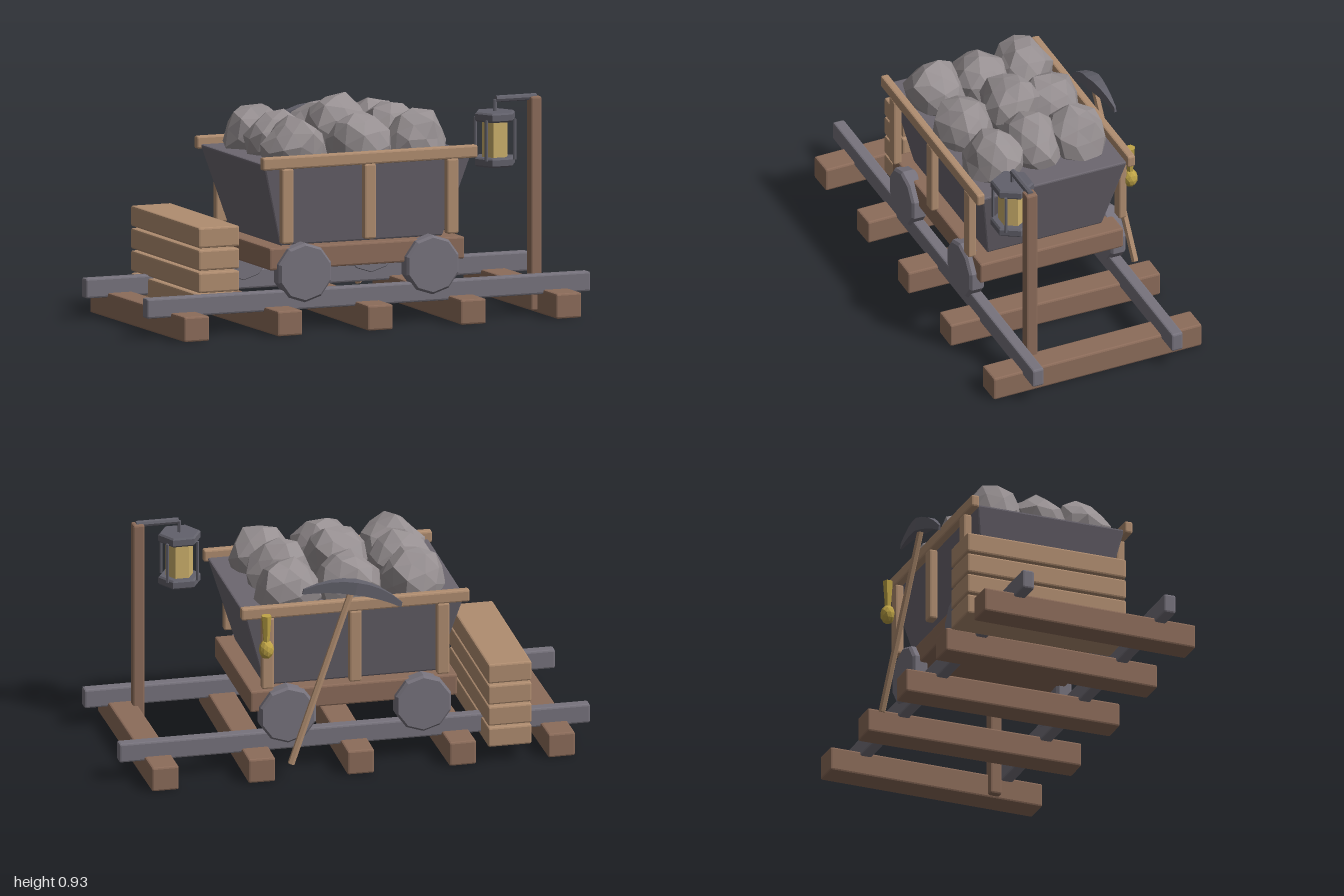
import * as THREE from 'three';
import { RoundedBoxGeometry } from 'three/addons/geometries/RoundedBoxGeometry.js';
import { mergeVertices } from 'three/addons/utils/BufferGeometryUtils.js';

const mat = (name, color) => {
  const m = new THREE.MeshStandardMaterial({ color, flatShading: true });
  m.name = name;
  return m;
};

export function createModel() {
  const darkWood = mat('dark wood', 0x8c6c5a);
  const lightWood = mat('light wood', 0xb08d70);
  const steel = mat('steel', 0x77737d);
  const tubMetal = mat('tub metal', 0x6c6770);
  const iron = mat('dark iron', 0x62616b);
  const stone = mat('stone', 0x979092);
  const glass = mat('lamp glass', 0xccb06c);
  const gold = mat('gold', 0xbfa446);

  const model = new THREE.Group();
  model.name = 'mineCart';
  const add = (name, geo, material, x = 0, y = 0, z = 0, parent = model) => {
    const mesh = new THREE.Mesh(geo, material);
    mesh.name = name;
    mesh.position.set(x, y, z);
    parent.add(mesh);
    return mesh;
  };
  // chamfered box
  const block = (w, h, d, r = 0.008) => new RoundedBoxGeometry(w, h, d, 1, r);
  // move each vertex by a rule
  const warp = (geo, rule) => {
    const p = geo.attributes.position, v = new THREE.Vector3();
    for (let i = 0; i < p.count; i++) {
      rule(v.fromBufferAttribute(p, i));
      p.setXYZ(i, v.x, v.y, v.z);
    }
    geo.computeVertexNormals();
    return geo;
  };
  // chamfered disc around y
  const disc = (r, h, sides, b) => new THREE.LatheGeometry([
    [0, -h / 2], [r - b, -h / 2], [r, -h / 2 + b], [r, h / 2 - b], [r - b, h / 2], [0, h / 2],
  ].map(([x, y]) => new THREE.Vector2(x, y)), sides);

  // track
  const turns = [0.016, 0.016, -0.012, -0.012, 0.01];
  turns.forEach((turn, i) => {
    add('sleeper', block(0.115, 0.105, 0.95), darkWood, -0.84 + i * 0.42, 0.0525, 0).rotation.y = turn;
  });
  for (const s of [-1, 1]) add('rail', block(2, 0.083, 0.052), steel, 0, 0.128, s * 0.316);

  // stacked planks
  for (let i = 0; i < 4; i++) {
    add('plank', block(0.185, 0.086, 0.71), lightWood, -0.628, 0.112 + i * 0.0937, -0.12);
  }

  // cart: chassis, wheels, tapered tub
  add('chassis', block(0.88, 0.093, 0.65), darkWood, 0, 0.3, 0);
  for (const x of [-0.29, 0.285]) {
    for (const s of [-1, 1]) {
      add('wheel', disc(0.124, 0.068, 10, 0.01), steel, x, 0.24, s * 0.321).rotation.x = Math.PI / 2;
    }
  }
  const tub = warp(block(0.94, 0.352, 0.66), (v) => {
    const t = 0.5 - v.y / 0.352;
    v.x *= 1 - 0.22 * t;
    v.z *= 1 - 0.21 * t;
  });
  add('tub', tub, tubMetal, 0, 0.521, 0);
  for (const s of [-1, 1]) {
    add('rimBoard', block(0.97, 0.053, 0.036), lightWood, 0, 0.704, s * 0.342);
    for (const x of [-0.372, 0, 0.372]) {
      add('sidePost', block(0.053, 0.315, 0.037), lightWood, x, 0.523, s * 0.342);
    }
  }

  // heap of rough rocks
  let seed = 7;
  const rnd = () => (seed = (seed * 16807) % 2147483647) / 2147483647;
  const rock = (rx, ry, rz) => {
    let g = new THREE.IcosahedronGeometry(1, 1);
    g.deleteAttribute('normal');
    g.deleteAttribute('uv');
    g = mergeVertices(g, 1e-3);
    const spin = new THREE.Euler(rnd() * 6, rnd() * 6, rnd() * 6);
    return warp(g, (v) => {
      v.applyEuler(spin).multiplyScalar(0.88 + rnd() * 0.22);
      v.set(v.x * rx, v.y * ry, v.z * rz);
    });
  };
  for (let i = -1; i <= 1; i++) {
    for (let j = -1; j <= 1; j++) {
      const mid = i === 0 && j === 0;
      const x = i * 0.262 - 0.005 + (rnd() - 0.5) * 0.03;
      const z = j * 0.2 + (rnd() - 0.5) * 0.02;
      add('rock', rock(0.138, mid ? 0.15 : 0.138, 0.126), stone, x, mid ? 0.785 : 0.737, z);
    }
  }

  // lantern on its post
  add('lanternPost', block(0.05, 0.895, 0.052), darkWood, 0.782, 0.4575, 0.256);
  add('lanternArm', new THREE.CylinderGeometry(0.014, 0.014, 0.18, 8), iron, 0.7, 0.902, 0.256).rotation.z = Math.PI / 2;
  const lantern = new THREE.Group();
  lantern.name = 'lantern';
  lantern.position.set(0.605, 0.738, 0.256);
  model.add(lantern);
  for (const y of [-0.094, 0.094]) {
    add('lanternCap', disc(0.09, 0.039, 6, 0.007), iron, 0, y, 0, lantern).rotation.y = Math.PI / 6;
  }
  add('lanternGlass', new THREE.CylinderGeometry(0.058, 0.058, 0.16, 6), glass, 0, 0, 0, lantern).rotation.y = Math.PI / 6;
  for (const x of [-0.064, 0.064]) {
    for (const z of [-0.056, 0.058]) {
      add('lanternBar', new THREE.CylinderGeometry(0.007, 0.007, 0.17, 6), iron, x, 0, z, lantern);
    }
  }
  add('lanternHook', new THREE.CylinderGeometry(0.008, 0.008, 0.06, 6), iron, 0, 0.132, 0, lantern);

  // pickaxe leaning on the back
  const top = new THREE.Vector3(0.01, 0.815, -0.378), foot = new THREE.Vector3(0.295, 0.06, -0.443);
  const along = top.clone().sub(foot);
  const handle = add('pickHandle', new THREE.CylinderGeometry(0.014, 0.015, along.length(), 6), lightWood);
  handle.position.copy(top).add(foot).multiplyScalar(0.5);
  handle.quaternion.setFromUnitVectors(new THREE.Vector3(0, 1, 0), along.normalize());
  const head = warp(new THREE.BoxGeometry(0.43, 0.055, 0.055, 8, 1, 1), (v) => {
    const t = Math.abs(v.x) / 0.215;
    v.z *= 1 - 0.85 * t;
    v.y = v.y * (1 - 0.6 * t * t) - 0.05 * t * t;
  });
  add('pickHead', head, iron, 0.01, 0.797, -0.383).rotation.z = 0.22;

  // small pouch hung from the back rim
  add('pouchStrap', new THREE.CylinderGeometry(0.022, 0.013, 0.12, 6), gold, 0.385, 0.642, -0.38);
  add('pouch', new THREE.IcosahedronGeometry(0.032, 1), gold, 0.385, 0.552, -0.38).scale.y = 1.3;

  return model;
}
